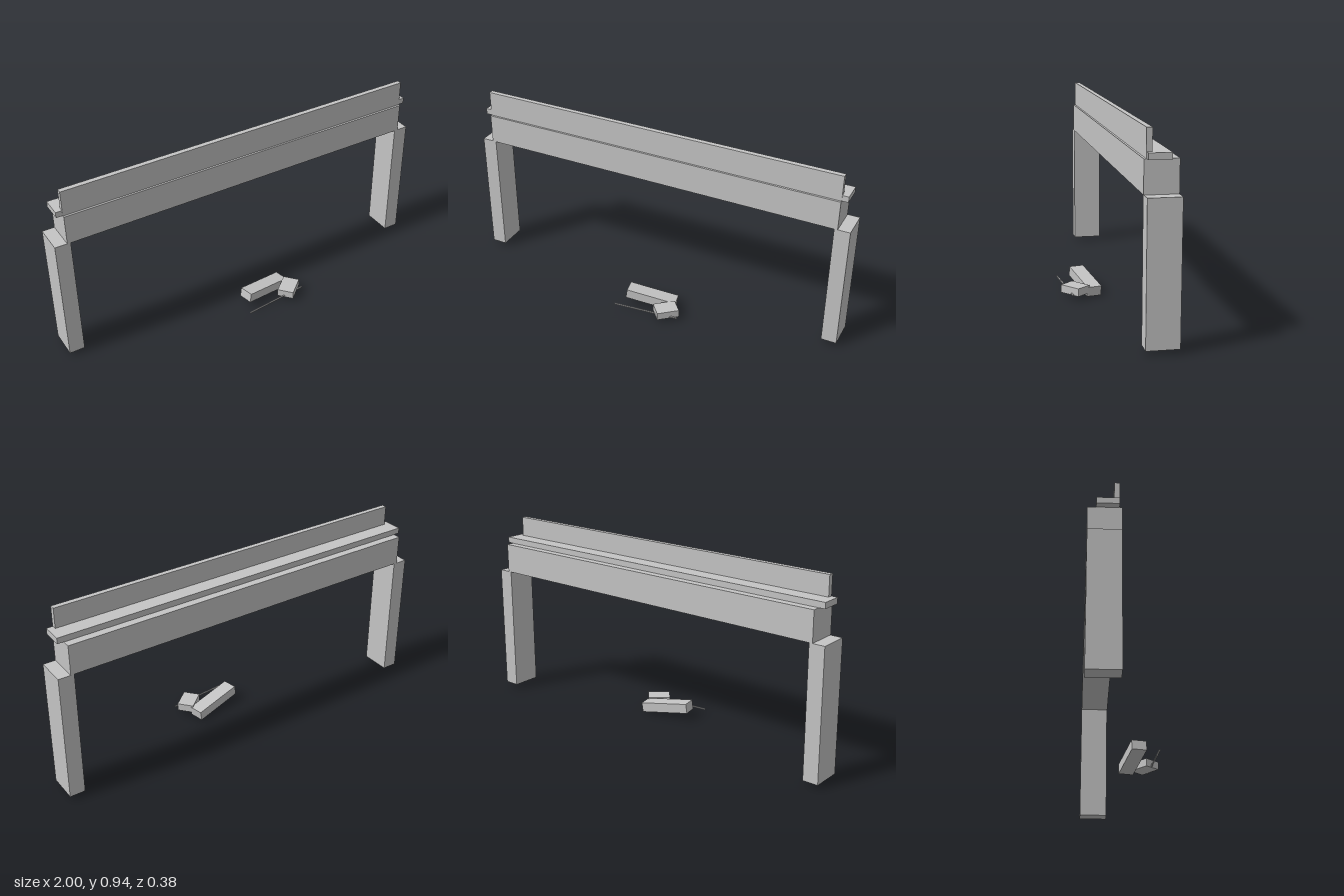
import * as THREE from 'three';

export function createModel() {
  const model = new THREE.Group();
  const grey = new THREE.MeshStandardMaterial({ color: 0xc4c4c4 });
  grey.name = 'pale grey';

  // Box given by its size, centre and turn
  function box(name, size, centre, yaw = 0, tilt = 0) {
    const mesh = new THREE.Mesh(new THREE.BoxGeometry(...size), grey);
    mesh.name = name;
    mesh.position.set(...centre);
    mesh.rotation.set(0, yaw, tilt, 'YXZ');
    model.add(mesh);
    return mesh;
  }

  // Posts at both ends
  for (const side of [-1, 1]) {
    box(side > 0 ? 'leftPost' : 'rightPost', [0.077, 0.643, 0.148], [side * 0.9615, 0.3425, -0.114]);
  }

  // Beam, shelf and upright board on top
  box('beam', [1.88, 0.148, 0.15], [0, 0.738, -0.113]);
  box('shelf', [1.942, 0.029, 0.1], [0, 0.8265, -0.1]);
  box('upperBoard', [1.88, 0.128, 0.025], [0, 0.876, -0.0605]);

  // Loose pieces lying in front
  box('tiltedBlock', [0.257, 0.049, 0.073], [0.047, 0.0455, 0.057], 0.207, -0.15);
  box('smallBlock', [0.113, 0.039, 0.083], [0.158, 0.04, 0.123], 0.71);
  box('rod', [0.339, 0.006, 0.006], [0.06, 0.028, 0.16], 0.1);

  return model;
}
